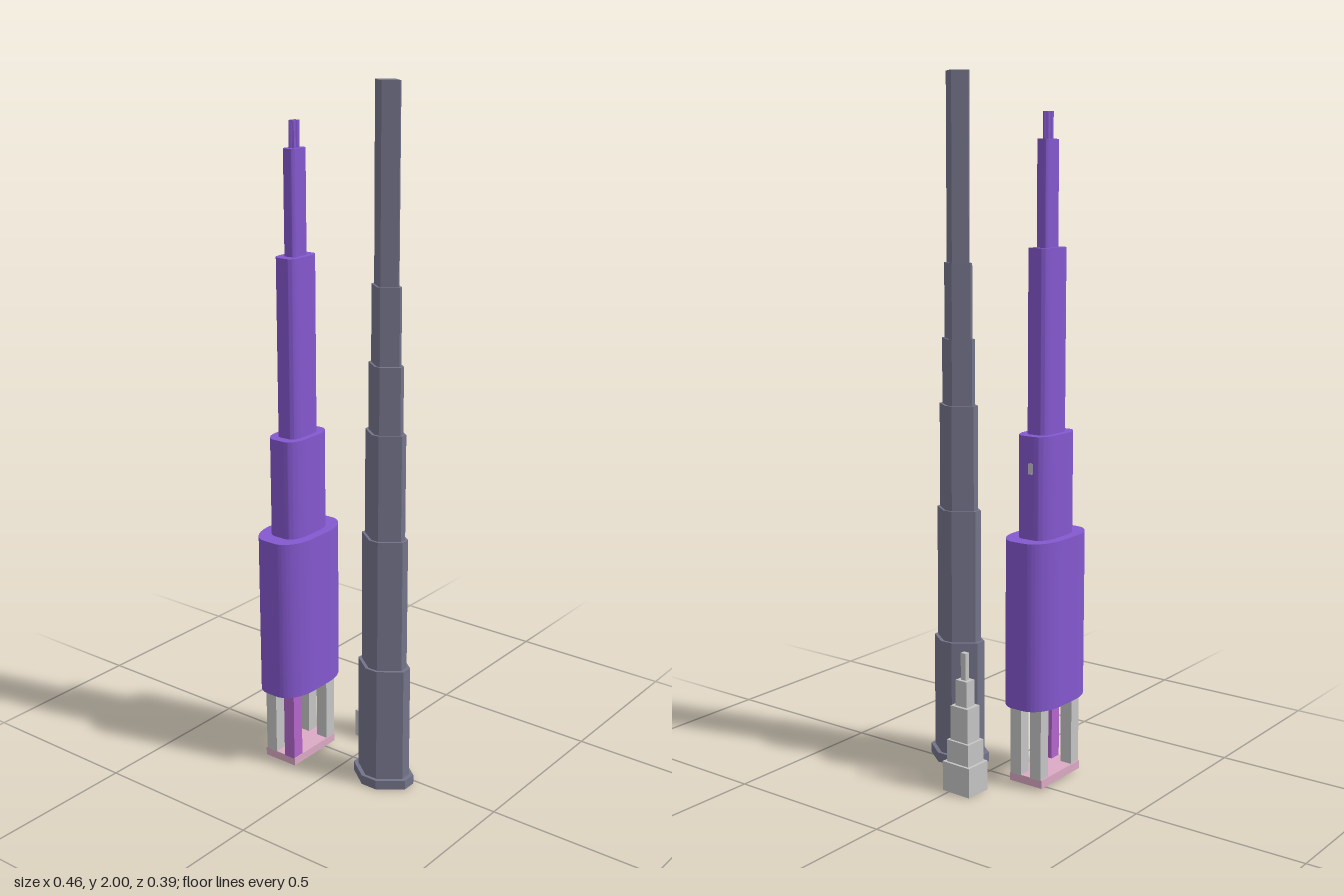
import * as THREE from 'three';
import { toCreasedNormals } from 'three/addons/utils/BufferGeometryUtils.js';

const mat = (name, color) => {
  const m = new THREE.MeshStandardMaterial({ color });
  m.name = name;
  return m;
};

export function createModel() {
  const purple = mat('purple', 0x8458cf);
  const slate = mat('slate grey', 0x74748a);
  const grey = mat('light grey', 0xc5c5c5);
  const orchid = mat('orchid', 0xb466cc);
  const pink = mat('dusty pink', 0xdcaac4);

  const add = (parent, name, geometry, material, x = 0, y = 0, z = 0) => {
    const mesh = new THREE.Mesh(geometry, material);
    mesh.name = name;
    mesh.position.set(x, y, z);
    parent.add(mesh);
    return mesh;
  };
  const tower = (name, x, z) => {
    const g = new THREE.Group();
    g.name = name;
    g.position.set(x, 0, z);
    return g;
  };
  // Upright prism from a plan outline, between two heights
  const prism = (shape, y0, y1) => {
    const g = new THREE.ExtrudeGeometry(shape, { depth: y1 - y0, bevelEnabled: false, curveSegments: 10 });
    g.rotateX(-Math.PI / 2);
    g.translate(0, y0, 0);
    return toCreasedNormals(g, 0.5);
  };
  // Plan with elliptical corners: half sizes w, d and half lengths of the straight sides fx, fz
  const roundedPlan = (w, d, fx, fz) => {
    const s = new THREE.Shape();
    const rx = w - fx, rz = d - fz;
    s.moveTo(w, -fz);
    s.lineTo(w, fz);
    s.absellipse(fx, fz, rx, rz, 0, Math.PI / 2, false, 0);
    s.absellipse(-fx, fz, rx, rz, Math.PI / 2, Math.PI, false, 0);
    s.absellipse(-fx, -fz, rx, rz, Math.PI, Math.PI * 1.5, false, 0);
    s.absellipse(fx, -fz, rx, rz, Math.PI * 1.5, Math.PI * 2, false, 0);
    return s;
  };
  const polygon = (pts) => new THREE.Shape(pts.map(([x, y]) => new THREE.Vector2(x, y)));

  const model = new THREE.Group();
  model.name = 'towers';

  // Purple tower: stepped rounded tiers raised on legs
  const purpleTower = tower('purpleTower', -0.151, 0.061);
  [
    [0.081, 0.132, 0.018, 0.036, 0.24, 0.72],
    [0.053, 0.086, 0.018, 0.03, 0.72, 1.01],
    [0.035, 0.058, 0.014, 0.028, 1.01, 1.52],
    [0.0195, 0.031, 0.009, 0.019, 1.52, 1.81],
  ].forEach(([w, d, fx, fz, y0, y1], i) =>
    add(purpleTower, `purpleTier${i + 1}`, prism(roundedPlan(w, d, fx, fz), y0, y1), purple));

  // Notched mast on top
  const quarter = [[0.005, 0], [0.009, 0.004], [0.009, 0.012], [0.005, 0.014], [0, 0.009]];
  const half = [...quarter, ...quarter.slice(0, 4).reverse().map(([x, z]) => [-x, z])];
  const mastPlan = [...half, ...half.slice(1, -1).map(([x, z]) => [-x, -z])];
  add(purpleTower, 'mast', prism(polygon(mastPlan), 1.81, 1.883), purple);
  add(purpleTower, 'backPlate', new THREE.BoxGeometry(0.012, 0.03, 0.004), grey, -0.008, 0.92, -0.087);

  // Footing slab and four legs, the front left one orchid
  add(purpleTower, 'footing', new THREE.BoxGeometry(0.11, 0.024, 0.19), pink, -0.002, 0.02, 0);
  for (const sx of [-1, 1]) for (const sz of [-1, 1]) {
    const accent = sx > 0 && sz > 0;
    add(purpleTower, accent ? 'accentLeg' : 'leg', new THREE.BoxGeometry(0.037, 0.212, 0.037),
      accent ? orchid : grey, -0.001 + sx * 0.034, 0.136, sz * 0.0765);
  }
  model.add(purpleTower);

  // Slate tower: octagonal base narrowing to a diamond shaft
  const slateTower = tower('slateTower', 0.1385, 0.035);
  [
    [0.093, 0.072, 0, 0.028],
    [0.08, 0.062, 0.028, 0.37],
    [0.07, 0.054, 0.37, 0.76],
    [0.062, 0.048, 0.76, 1.065],
    [0.054, 0.041, 1.065, 1.255],
    [0.047, 0.036, 1.255, 1.47],
    [0.04, 0.031, 1.47, 2],
  ].forEach(([w, d, y0, y1], i) => {
    const k = (w - 0.04) / 0.053;
    const fx = 0.002 + 0.023 * k, fz = 0.002 + 0.019 * k;
    const plan = polygon([[w, -fz], [w, fz], [fx, d], [-fx, d], [-w, fz], [-w, -fz], [-fx, -d], [fx, -d]]);
    add(slateTower, `slateTier${i + 1}`, prism(plan, y0, y1), slate);
  });
  model.add(slateTower);

  // Small grey tower: stacked boxes, turned slightly
  const greyTower = tower('greyTower', -0.0275, -0.1515);
  greyTower.rotation.y = -0.04;
  [
    [0.096, 0.083, 0, 0.086],
    [0.078, 0.067, 0.086, 0.15],
    [0.062, 0.053, 0.15, 0.25],
    [0.04, 0.034, 0.25, 0.325],
    [0.018, 0.015, 0.325, 0.403],
  ].forEach(([w, d, y0, y1], i) =>
    add(greyTower, `greyTier${i + 1}`, new THREE.BoxGeometry(w, y1 - y0, d), grey, 0, (y0 + y1) / 2, 0));
  model.add(greyTower);

  return model;
}
